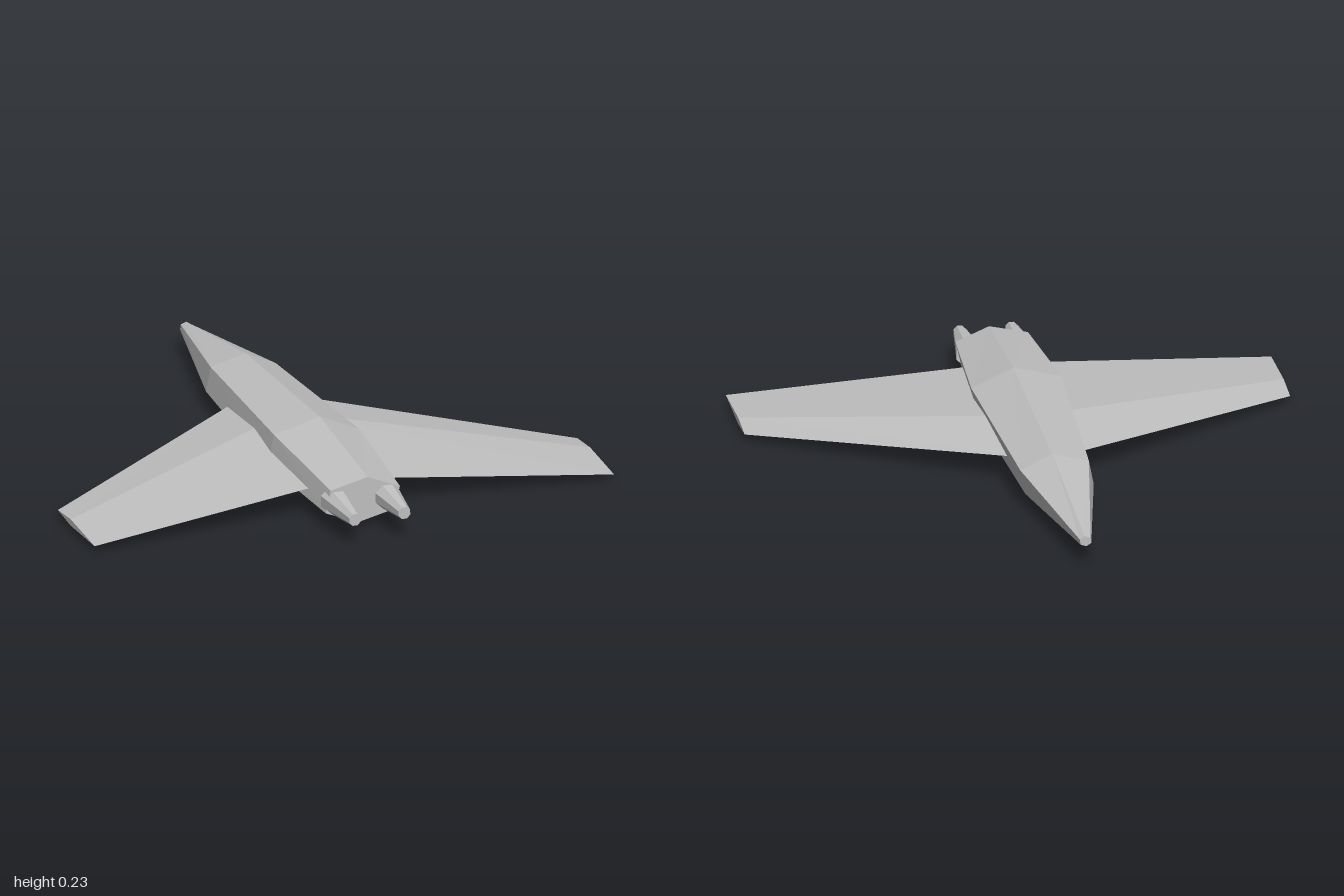
import * as THREE from 'three';

// Skin a list of equal-length rings, each counter-clockwise seen from the far end
function loft(rings, flip = false) {
  const pos = [];
  const tri = (a, b, c) => pos.push(...a, ...(flip ? c : b), ...(flip ? b : c));
  const n = rings[0].length;
  for (let i = 0; i < rings.length - 1; i++) {
    for (let j = 0; j < n; j++) {
      const k = (j + 1) % n;
      const [a, b, c, d] = [rings[i][j], rings[i][k], rings[i + 1][k], rings[i + 1][j]];
      tri(a, b, c);
      tri(a, c, d);
    }
  }
  const first = rings[0], last = rings[rings.length - 1];
  for (let j = 1; j < n - 1; j++) {
    tri(first[0], first[j + 1], first[j]);
    tri(last[0], last[j], last[j + 1]);
  }
  const geo = new THREE.BufferGeometry();
  geo.setAttribute('position', new THREE.Float32BufferAttribute(pos, 3));
  geo.computeVertexNormals();
  return geo;
}

// Elliptical polygon ring across the z axis
function ring(sides, phase, x, y, z, rx, ry) {
  return Array.from({ length: sides }, (_, i) => {
    const a = phase + (i / sides) * Math.PI * 2;
    return [x + rx * Math.cos(a), y + ry * Math.sin(a), z];
  });
}

export function createModel() {
  const group = new THREE.Group();
  const grey = new THREE.MeshStandardMaterial({ color: 0xc0c0c0, flatShading: true });
  grey.name = 'hull grey';
  const add = (name, geo) => {
    const mesh = new THREE.Mesh(geo, grey);
    mesh.name = name;
    group.add(mesh);
  };
  const phase = THREE.MathUtils.degToRad(23);

  // Six-sided fuselage: z, centre height, half width, half height
  const stations = [
    [-1, 0.095, 0.023, 0.02],
    [-0.43, 0.112, 0.146, 0.093],
    [0.32, 0.12, 0.192, 0.117],
    [0.825, 0.105, 0.155, 0.086],
  ];
  add('fuselage', loft(stations.map(([z, y, rx, ry]) => ring(6, phase, 0, y, z, rx, ry))));

  for (const side of [1, -1]) {
    const label = side > 0 ? 'left' : 'right';

    // Drooping swept wing with a diamond section: ridge, trailing, keel, leading
    const section = (x, lead, ridge, trail, top, mid, low) => [
      [x * side, top, ridge], [x * side, mid, trail],
      [x * side, low, ridge], [x * side, mid, lead],
    ];
    add(label + 'Wing', loft([
      section(0, -0.28, 0.05, 0.645, 0.157, 0.12, 0.087),
      section(1, 0.36, 0.49, 0.738, 0.044, 0.031, 0.019),
    ], side < 0));

    // Tapered eight-sided engine nozzle
    add(label + 'Engine', loft([
      ring(8, phase, side * 0.095, 0.105, 0.785, 0.055, 0.053),
      ring(8, phase, side * 0.095, 0.105, 1, 0.024, 0.024),
    ]));
  }
  return group;
}
